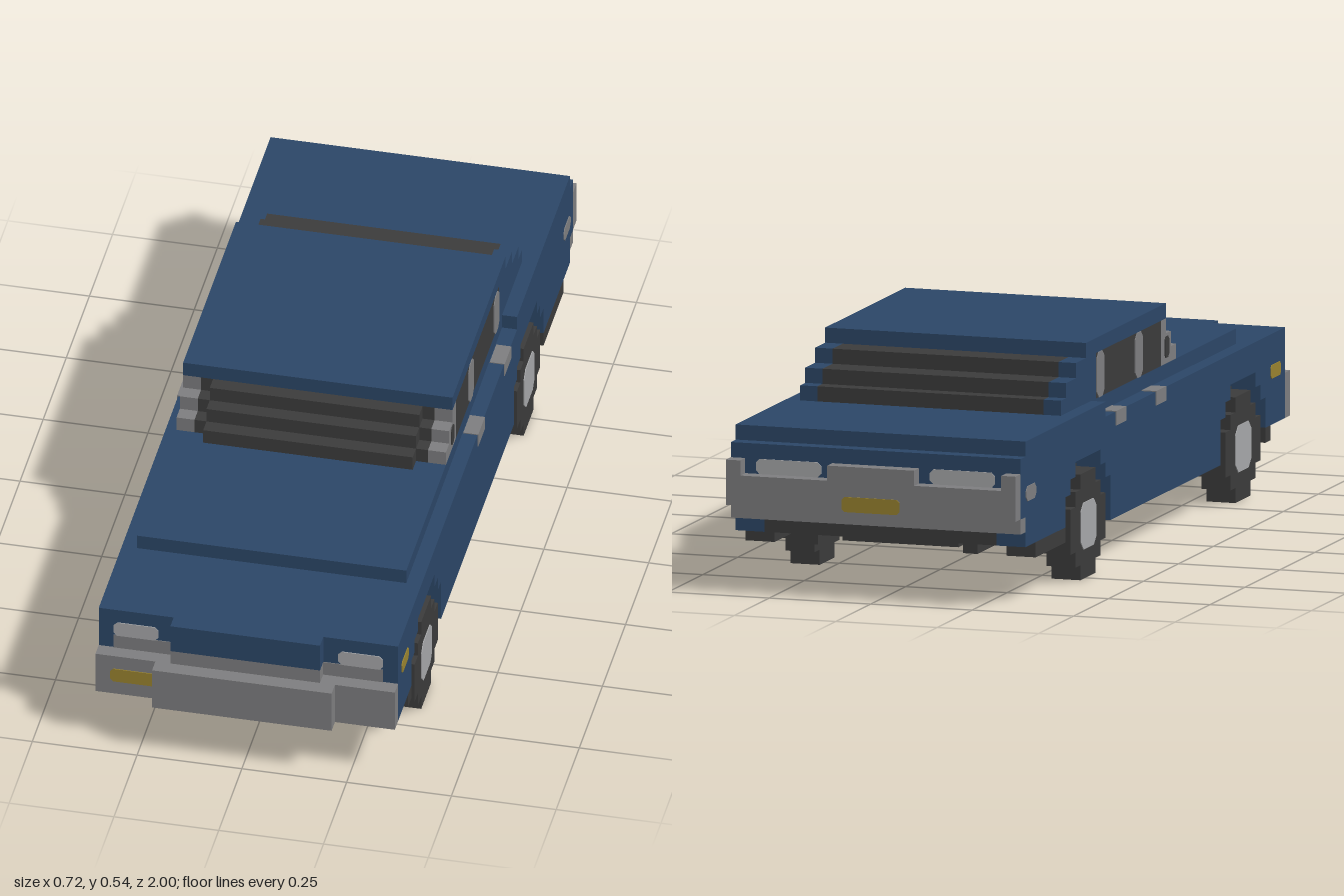
import * as THREE from 'three';

const U = 1 / 28; // one block of the grid the car is built on

const paint = (name, color) => {
  const m = new THREE.MeshStandardMaterial({ color });
  m.name = name;
  return m;
};

export function createModel() {
  const blue = paint('body blue', 0x2c4768);
  const dark = paint('rubber and glass', 0x3c3c3c);
  const grey = paint('trim grey', 0x7f7f81);
  const light = paint('lamp silver', 0xa8a9ab);
  const amber = paint('amber', 0x9a8430);

  const car = new THREE.Group();
  car.name = 'car';

  const add = (name, geometry, material, parent = car) => {
    const mesh = new THREE.Mesh(geometry, material);
    mesh.name = name;
    parent.add(mesh);
    return mesh;
  };
  // Box between two corners, in blocks
  const box = (name, mat, x0, x1, y0, y1, z0, z1, parent) => {
    const g = new THREE.BoxGeometry(x1 - x0, y1 - y0, z1 - z0);
    g.translate((x0 + x1) / 2, (y0 + y1) / 2, (z0 + z1) / 2);
    return add(name, g, mat, parent);
  };
  // Box repeated on both sides of the car
  const pair = (name, mat, x0, x1, ...rest) => {
    box(name + 'Left', mat, x0, x1, ...rest);
    box(name + 'Right', mat, -x1, -x0, ...rest);
  };
  // Thin plate with cut corners, w along local x and h along y
  const plate = (name, mat, w, h, cut, x, y, z, turn) => {
    const a = w / 2, b = h / 2, c = cut;
    const pts = [[-a + c, -b], [a - c, -b], [a, -b + c], [a, b - c],
      [a - c, b], [-a + c, b], [-a, b - c], [-a, -b + c]];
    const s = new THREE.Shape(pts.map(p => new THREE.Vector2(...p)));
    const g = new THREE.ExtrudeGeometry(s, { depth: 0.16, bevelEnabled: false });
    g.translate(0, 0, -0.1);
    const m = add(name, g, mat);
    m.position.set(x, y, z);
    m.rotation.y = turn;
  };

  // Side panels with stepped wheel arches and the sill between them
  const archSteps = c => [[c + 4.5, 4], [c + 4.5, 6], [c + 3.5, 6], [c + 3.5, 7], [c + 2.5, 7],
    [c + 2.5, 8], [c - 2.5, 8], [c - 2.5, 7], [c - 3.5, 7], [c - 3.5, 6], [c - 4.5, 6]];
  const outline = [[26, 8.01], [26, 4], ...archSteps(17.5), [13, 3], [-9, 3],
    ...archSteps(-13.5), [-18, 4], [-26, 4], [-26, 8.01]];
  const panelShape = new THREE.Shape(outline.map(p => new THREE.Vector2(...p)));
  for (const [name, x] of [['sidePanelLeft', 10], ['sidePanelRight', -8]]) {
    const g = new THREE.ExtrudeGeometry(panelShape, { depth: 2, bevelEnabled: false });
    g.rotateY(-Math.PI / 2).translate(x, 0, 0);
    add(name, g, blue);
  }

  // Body
  box('innerBody', dark, -8, 8, 4, 8, -26, 26);
  box('upperBody', blue, -10, 10, 8, 10, -26, 26);
  box('hoodAndBeltline', blue, -9, 9, 10, 11, -10, 19);
  box('rearDeck', blue, -10, 10, 10, 11, -26, -10);
  box('tailPanel', blue, -10, 10, 6, 10, -27, -26);
  box('tailValance', grey, -10, 10, 5, 6, -27, -26);
  box('hoodNose', blue, -5, 5, 8, 10, 26, 27);

  // Front bumper, grille and lamps
  box('frontBumper', grey, -10, 10, 4, 7, 26, 27);
  box('frontBumperCentre', grey, -6, 6, 4, 7, 27, 28);
  box('grille', grey, -5, 5, 7, 8, 26, 27);
  pair('headlampFrame', grey, 5, 9, 7, 8, 25.9, 26.05);
  for (const s of [-1, 1]) plate('headlamp', light, 3, 1.05, 0.25, s * 7.5, 8.5, 26, 0);
  plate('frontAmberLamp', amber, 3, 1, 0.2, -7.5, 5.5, 27, 0);

  // Rear bumper, lamps and plate
  box('rearBumper', grey, -10, 10, 6, 8, -28, -27);
  box('rearBumperCentre', grey, -3, 3, 8, 9, -28, -27);
  pair('rearBumperEnd', grey, 9, 10, 8, 9, -28, -27);
  for (const s of [-1, 1]) plate('tailLamp', light, 4.5, 1, 0.25, s * 6, 8.5, -27, Math.PI);
  plate('rearPlate', amber, 4, 1, 0.2, 0, 6.5, -28, Math.PI);

  // Cabin: three stepped rows of glass under a flat roof
  const rows = [[8, -16], [7, -15], [6, -13]];
  rows.forEach(([front, back], i) => {
    const y = 11 + i;
    box('cabinGlass', dark, -7.8, 7.8, y, y + 1, back, front - 1);
    box('windshieldStep', dark, -7, 7, y, y + 1, front - 1, front);
    pair('sideWindow', dark, 7.8, 9, y, y + 1, -9, 4);
    pair('frontPillar', grey, 7.8, 9, y, y + 1, 4, front - 1);
    pair('rearQuarter', blue, 7.8, 9, y, y + 1, back, -9);
  });
  box('roof', blue, -9, 9, 14, 15, -11, 5);

  // Painted details on both flanks
  for (const s of [-1, 1]) {
    const turn = s * Math.PI / 2;
    plate('centrePillar', grey, 1.5, 3, 0.4, s * 9, 12.5, -0.5, turn);
    plate('rearPillar', grey, 1.5, 3, 0.4, s * 9, 12.5, -8.2, turn);
    plate('quarterGlass', dark, 0.8, 1.4, 0.2, s * 9, 12.1, 5.1, turn);
    plate('frontSideMarker', amber, 2, 0.9, 0.2, s * 10, 7.5, 24, turn);
    plate('rearSideMarker', grey, 2, 1, 0.3, s * 10, 7.5, -25, turn);
  }
  for (const z of [1, -7]) {
    pair('doorHandle', grey, 9.05, 10.06, 9.1, 10.06, z - 1, z + 1);
  }

  // Underside: floor, end rails, cross members and axles
  box('floor', dark, -9, 9, 3, 4.02, -9, 13);
  box('frontValance', dark, -10, 10, 3, 4, 22, 23);
  box('engineTray', dark, -4, 4, 3, 4, 15, 22);
  pair('frontRail', dark, 6, 7, 3, 4, 13, 22);
  box('frontAxle', dark, -8, 8, 3, 4, 17, 18);
  box('rearAxle', dark, -8, 8, 3, 4, -14, -13);
  box('driveShaft', dark, -1, 1, 3, 4, -13, -9);
  pair('rearRail', dark, 5, 6, 3, 4, -24, -9);
  box('fuelTank', dark, -4, 4, 3, 4, -22, -17);
  pair('rearCorner', dark, 8, 10, 3, 4, -24, -18);

  // Wheels: stacked steps make the round outline, with a silver hub
  const wheelRows = [[0, 7, 1.5], [1, 6, 2.5], [2, 5, 3.5]];
  for (const s of [-1, 1]) {
    for (const z of [17.5, -13.5]) {
      const wheel = new THREE.Group();
      wheel.name = 'wheel';
      wheel.position.set(s * 9, 0, z);
      const pts = [];
      for (const [y, , h] of wheelRows) pts.push([h, y], [h, y + 1]);
      for (const [, y, h] of [...wheelRows].reverse()) pts.push([h, y - 1], [h, y]);
      const half = pts.map(([h, y]) => new THREE.Vector2(h, y));
      const other = [...half].reverse().map(p => new THREE.Vector2(-p.x, p.y));
      const g = new THREE.ExtrudeGeometry(new THREE.Shape([...half, ...other]),
        { depth: 2, bevelEnabled: false });
      g.rotateY(-Math.PI / 2).translate(1, 0, 0);
      add('tyre', g, dark, wheel);
      car.add(wheel);
      plate('hub', light, 3.1, 3.1, 0.55, s * 10, 3.5, z, s * Math.PI / 2);
    }
  }

  car.scale.setScalar(U);
  const model = new THREE.Group();
  model.name = 'sedan';
  model.add(car);
  return model;
}
